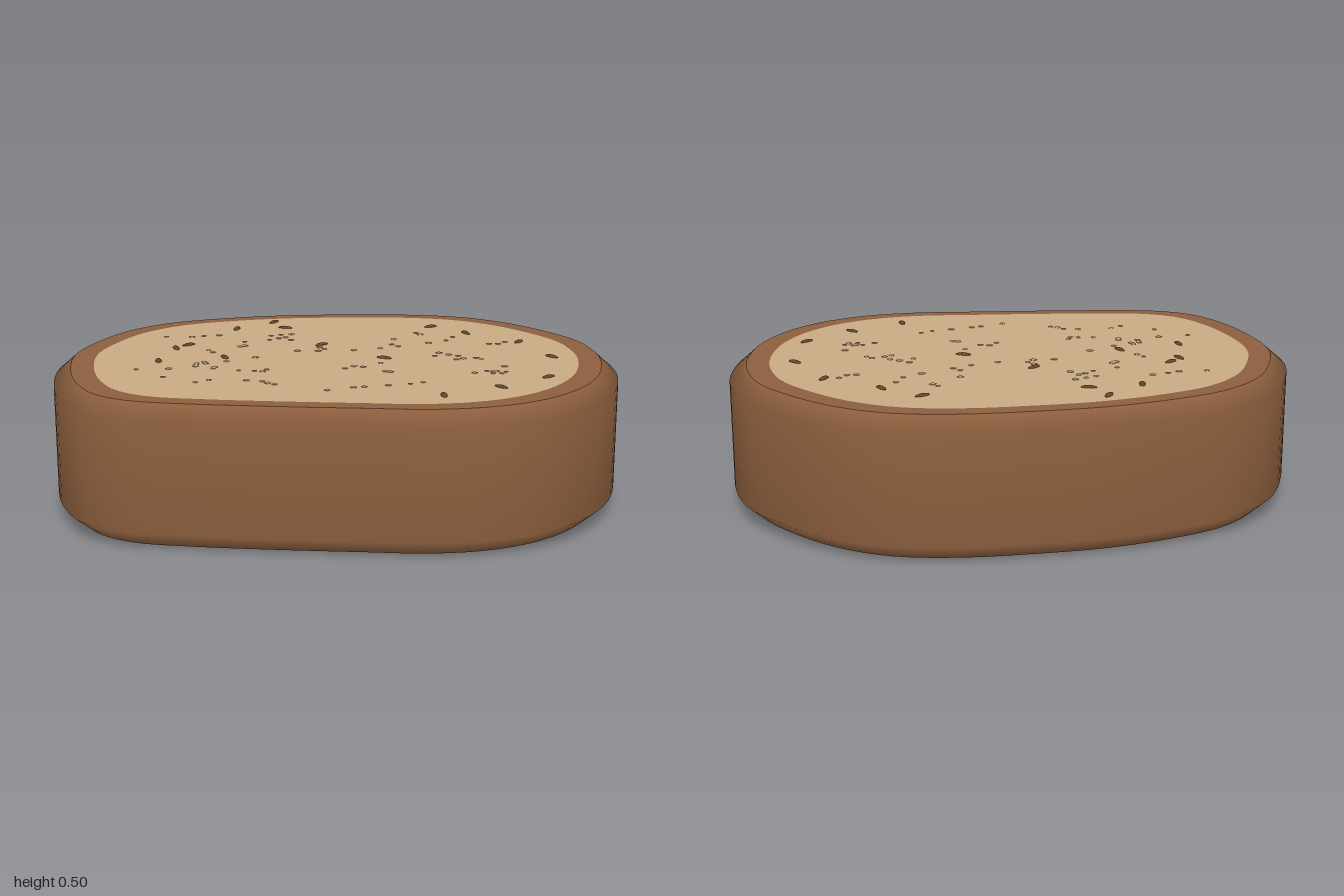
import * as THREE from 'three';
import { mergeGeometries } from 'three/addons/utils/BufferGeometryUtils.js';

const material = (name, color) => Object.assign(new THREE.MeshStandardMaterial({ color }), { name });

// Loaf outline (x, z), counter-clockwise seen from above
const OUTLINE = [
  [1, 0.02], [0.985, -0.15], [0.94, -0.3], [0.83, -0.46], [0.68, -0.61], [0.5, -0.71], [0.27, -0.75],
  [0, -0.745], [-0.25, -0.72], [-0.5, -0.655], [-0.71, -0.56], [-0.86, -0.41], [-0.95, -0.22],
  [-1, -0.02], [-0.98, 0.22], [-0.92, 0.43], [-0.83, 0.58], [-0.7, 0.66], [-0.5, 0.695],
  [-0.2, 0.72], [0.1, 0.735], [0.35, 0.743], [0.55, 0.705], [0.73, 0.61], [0.87, 0.46], [0.96, 0.27],
];
const curve = new THREE.CatmullRomCurve3(OUTLINE.map(([x, z]) => new THREE.Vector3(x, 0, z)), true);
const RING = curve.getSpacedPoints(96).slice(0, 96);

const TOP = 0.495, BOTTOM = 0.008, CRUMB = 0.86;

// Smooth strip through scaled copies of the outline, listed as [scale, y]
function strip(levels) {
  const n = RING.length, pos = [], index = [];
  for (const [s, y] of levels) for (const p of RING) pos.push(p.x * s, y, p.z * s);
  for (let k = 0; k < levels.length - 1; k++) {
    for (let i = 0; i < n; i++) {
      const a = k * n + i, b = k * n + (i + 1) % n;
      index.push(a, b, b + n, a, b + n, a + n);
    }
  }
  const g = new THREE.BufferGeometry();
  g.setAttribute('position', new THREE.Float32BufferAttribute(pos, 3));
  g.setIndex(index);
  g.computeVertexNormals();
  return g;
}

// Flat crumb face; side is 1 for the top and -1 for the bottom
function crumbFace(side) {
  const shape = new THREE.Shape(RING.map(p => new THREE.Vector2(p.x * CRUMB, -side * p.z * CRUMB)));
  return new THREE.ShapeGeometry(shape).rotateX(-side * Math.PI / 2);
}

function random(seed) {
  let s = seed;
  return () => (s = (s * 16807) % 2147483647) / 2147483647;
}

// Seeds as [x, z, turn in degrees]
const TOP_SEEDS = [
  [-0.26, -0.55, 60], [-0.21, -0.45, -15], [-0.395, -0.43, 80], [0.35, -0.485, 30],
  [0.48, -0.38, -65], [0.67, -0.24, 60], [0.77, -0.01, -45], [-0.06, -0.175, 40],
  [-0.55, -0.155, 40], [-0.59, -0.105, -70], [-0.4, 0.03, -65], [-0.63, 0.09, -80],
  [0.17, 0.025, -20], [0.73, 0.28, 40], [0.56, 0.42, -45], [0.365, 0.53, -85],
];
const BOTTOM_SEEDS = [
  [0.64, 0.245, 40], [0.33, -0.17, 50], [0.195, -0.215, -30], [0.165, -0.38, 0],
  [-0.03, -0.255, -10], [0.357, 0.07, -25], [0.31, 0.17, 60], [0.26, 0.18, 45],
  [0.19, 0.42, 0], [-0.085, 0.115, -60], [-0.355, -0.235, 60], [-0.417, -0.05, 50],
  [-0.36, 0.095, -20], [-0.57, 0.05, -10], [-0.465, 0.295, 70], [-0.637, -0.3, 45],
];

function seeds(list, y) {
  return mergeGeometries(list.map(([x, z, turn]) =>
    new THREE.SphereGeometry(1, 12, 8).scale(0.028, 0.008, 0.011)
      .rotateY(THREE.MathUtils.degToRad(turn)).translate(x, y, z)));
}

// Small crumb pores, in loose clusters
function pores(y, seed) {
  const rnd = random(seed), parts = [];
  for (let c = 0; c < 36; c++) {
    const a = rnd() * Math.PI * 2, r = Math.sqrt(rnd());
    const count = 1 + Math.floor(rnd() * 4);
    for (let i = 0; i < count; i++) {
      const x = 0.72 * r * Math.cos(a) + (rnd() - 0.5) * 0.12;
      const z = 0.53 * r * Math.sin(a) + (rnd() - 0.5) * 0.12;
      const size = 0.008 + rnd() * 0.005;
      parts.push(new THREE.CylinderGeometry(size, size, 0.003, 8).translate(x, y, z));
    }
  }
  return mergeGeometries(parts);
}

export function createModel() {
  const crust = material('crust brown', 0x8d5f3e);
  const crumb = material('crumb tan', 0xc8ab84);
  const pore = material('pore tan', 0xbb9d76);
  const seed = material('seed brown', 0x664526);

  const model = new THREE.Group();
  model.name = 'breadSlice';
  const add = (name, geometry, mat) => {
    const mesh = new THREE.Mesh(geometry, mat);
    mesh.name = name;
    model.add(mesh);
  };

  // Crust: bevelled side wall and two flat rims
  add('crustWall', strip([[0.94, BOTTOM], [1, 0.06], [1, 0.443], [0.94, TOP]]), crust);
  add('topRim', strip([[0.94, TOP], [0.85, TOP]]), crust);
  add('bottomRim', strip([[0.85, BOTTOM], [0.94, BOTTOM]]), crust);

  // Crumb faces with pores and seeds
  for (const [label, side, y, list] of [['top', 1, TOP, TOP_SEEDS], ['bottom', -1, BOTTOM, BOTTOM_SEEDS]]) {
    const face = y + side * 0.001;
    add(label + 'Crumb', crumbFace(side).translate(0, face, 0), crumb);
    add(label + 'Pores', pores(face, side > 0 ? 71 : 523), pore);
    add(label + 'Seeds', seeds(list, face), seed);
  }
  return model;
}
